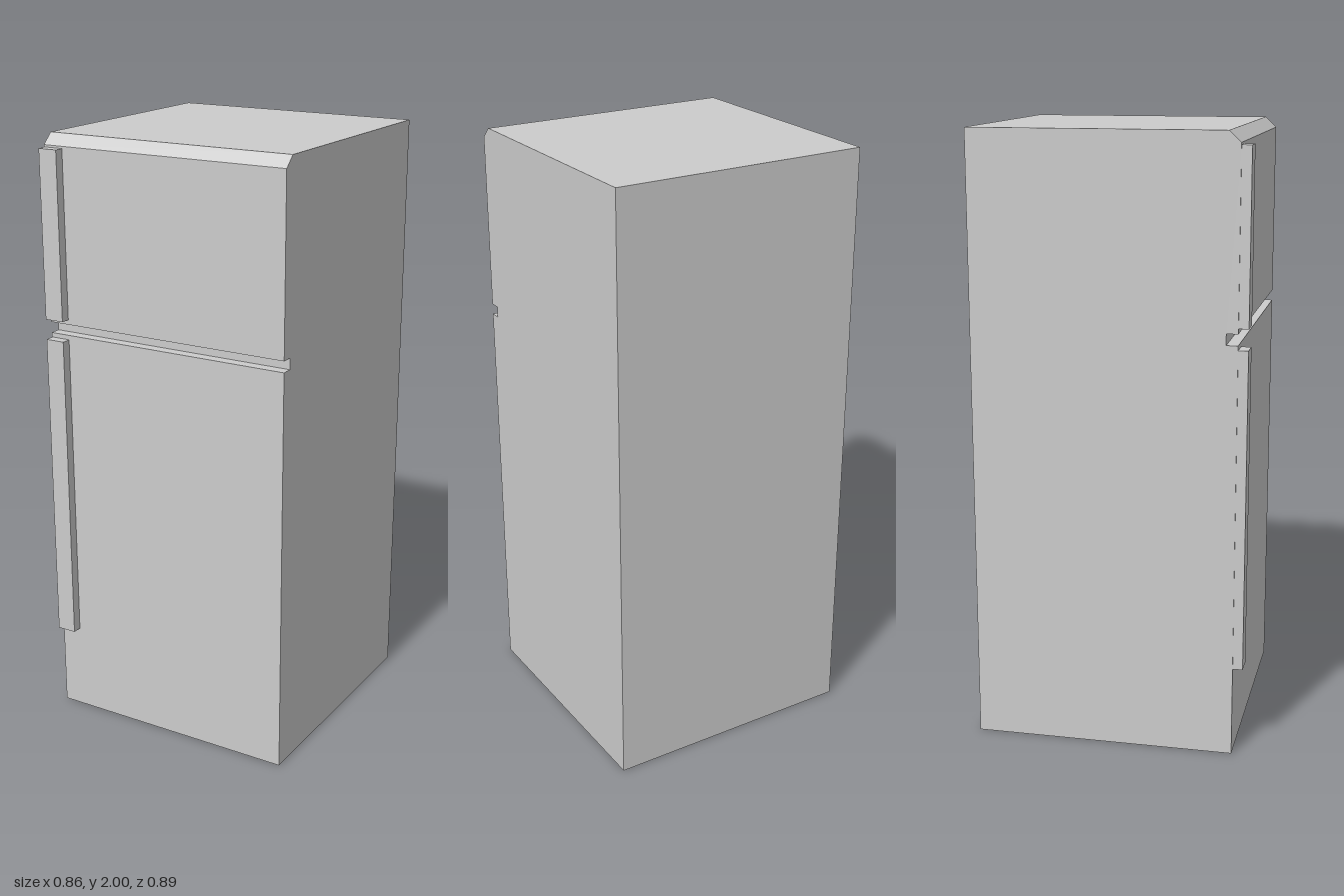
import * as THREE from 'three';

const WIDTH = 0.862;
const FRONT = 0.411;
const BACK = -0.443;

export function createModel() {
  const group = new THREE.Group();
  group.name = 'refrigerator';
  const material = new THREE.MeshStandardMaterial({ color: 0xcccccc, flatShading: true });

  // Cabinet: side profile (z, y) with the groove between doors and a chamfered top edge
  const profile = new THREE.Shape([
    [BACK, 0], [FRONT, 0], [FRONT, 1.355], [0.374, 1.355],
    [0.374, 1.391], [FRONT, 1.391], [FRONT, 1.965], [0.374, 2], [BACK, 2],
  ].map(([z, y]) => new THREE.Vector2(z, y)));
  const cabinetGeometry = new THREE.ExtrudeGeometry(profile, { depth: WIDTH, bevelEnabled: false });
  cabinetGeometry.rotateY(-Math.PI / 2).translate(WIDTH / 2, 0, 0);
  const cabinet = new THREE.Mesh(cabinetGeometry, material);
  cabinet.name = 'cabinet';
  group.add(cabinet);

  // Door handles: upright bars on the right edge of each door
  const addHandle = (name, bottom, top) => {
    const depth = 0.443 - FRONT;
    const handle = new THREE.Mesh(new THREE.BoxGeometry(0.066, top - bottom, depth), material);
    handle.position.set(-0.395, (bottom + top) / 2, FRONT + depth / 2);
    handle.name = name;
    group.add(handle);
  };
  addHandle('freezerHandle', 1.407, 1.958);
  addHandle('fridgeHandle', 0.295, 1.34);

  return group;
}
